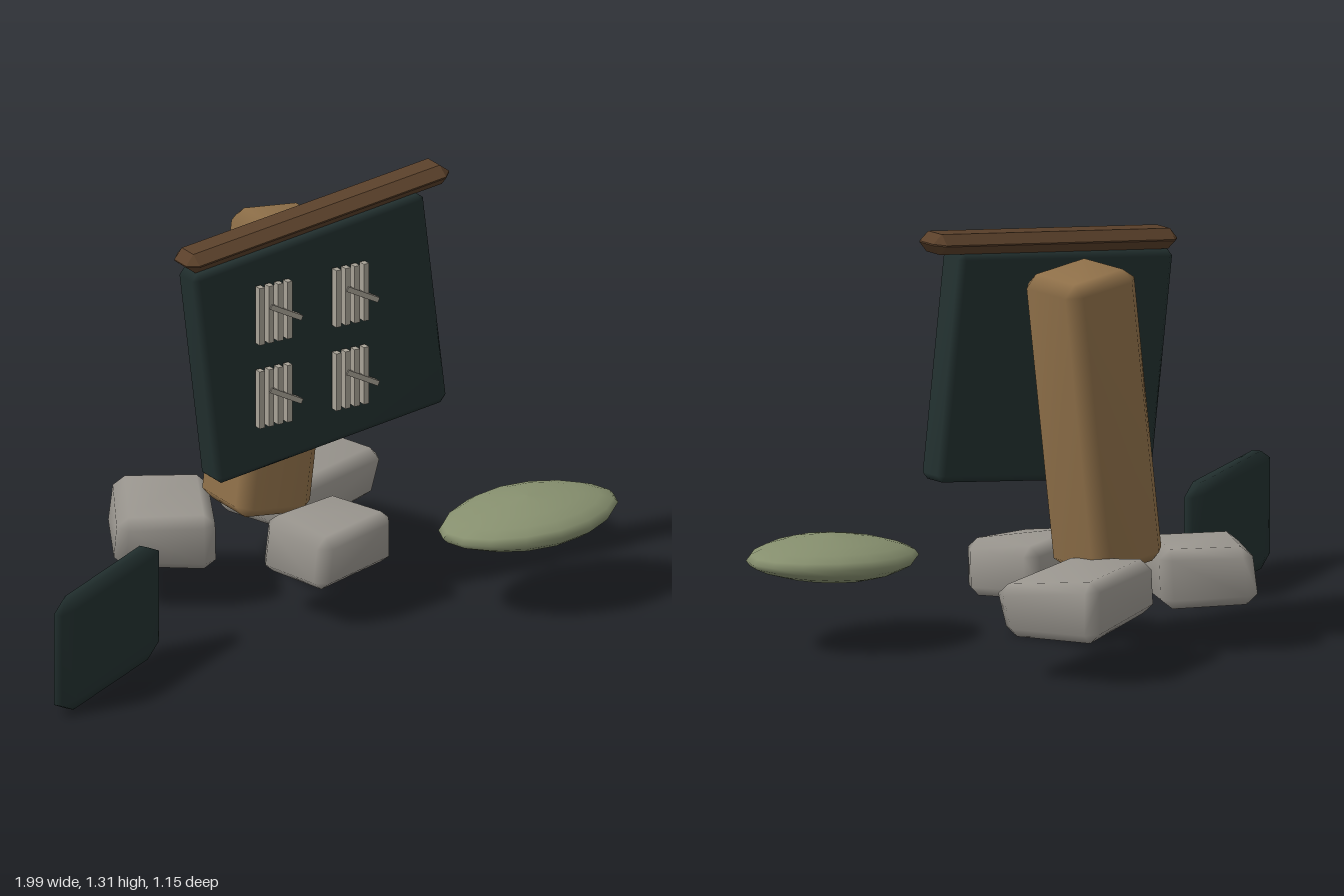
import * as THREE from 'three';
import { ConvexGeometry } from 'three/addons/geometries/ConvexGeometry.js';
import { mergeVertices } from 'three/addons/utils/BufferGeometryUtils.js';

const mat = (name, color) => {
  const m = new THREE.MeshStandardMaterial({ color });
  m.name = name;
  return m;
};

const seeded = (s) => () => {
  s = (s * 16807) % 2147483647;
  return s / 2147483647 - 0.5;
};

// Box with every edge and corner cut; inset gives the cut along x, y and z
function chamferBox(size, inset, { smooth = true, jitter = 0, seed = 1 } = {}) {
  const rand = seeded(seed);
  const points = [];
  for (const sx of [-1, 1]) for (const sy of [-1, 1]) for (const sz of [-1, 1]) {
    const sign = [sx, sy, sz];
    const shift = [rand(), rand(), rand()].map((r) => r * jitter);
    for (let face = 0; face < 3; face++) {
      const p = sign.map((s, i) => s * (size[i] / 2 - (i === face ? 0 : inset[i])) + shift[i]);
      points.push(new THREE.Vector3(...p));
    }
  }
  let geo = new ConvexGeometry(points);
  if (smooth) {
    geo.deleteAttribute('normal');
    geo = mergeVertices(geo, 1e-4);
    geo.computeVertexNormals();
  }
  return geo;
}

export function createModel() {
  const slate = mat('dark slate', 0x22302f);
  const wood = mat('post wood', 0x8f7049);
  const darkWood = mat('dark wood', 0x5a402a);
  const stone = mat('grey stone', 0x9a968f);
  const moss = mat('moss green', 0x868f6e);
  const chalk = mat('chalk', 0xa8a296);

  const model = new THREE.Group();
  model.name = 'tallyBoardSign';
  const add = (name, geo, material, pos, rot = [0, 0, 0], parent = model) => {
    const mesh = new THREE.Mesh(geo, material);
    mesh.name = name;
    mesh.position.set(...pos);
    mesh.rotation.set(...rot);
    parent.add(mesh);
    return mesh;
  };
  const deg = Math.PI / 180;

  // Leaning post
  add('post', chamferBox([0.265, 0.915, 0.265], [0.04, 0.035, 0.04]), wood,
    [0.132, 0.708, -0.167], [0, 0, -7 * deg]);

  // Crooked board with its cap rail
  add('board', chamferBox([0.82, 0.695, 0.1], [0.02, 0.02, 0.015]), slate,
    [0.165, 0.845, 0.015], [0, 0, 7 * deg]);
  add('capRail', chamferBox([0.935, 0.062, 0.125], [0.03, 0.029, 0.03], { smooth: false }), darkWood,
    [0.165, 1.225, 0.011], [0, 0, 6.7 * deg]);

  // Four tally groups: four upright strokes and one slanted stroke each
  const stroke = new THREE.BoxGeometry(0.018, 0.183, 0.024);
  const slash = new THREE.BoxGeometry(0.124, 0.016, 0.026);
  for (const y of [0.978, 0.71]) for (const x of [0, 0.27]) {
    const tally = new THREE.Group();
    tally.name = 'tallyMarks';
    tally.position.set(x, y, 0.084);
    for (let i = 0; i < 4; i++) add('stroke', stroke, chalk, [-0.063 + i * 0.0325, 0, 0], [0, 0, 0], tally);
    add('slash', slash, chalk, [0.021, -0.004, 0.003], [0, 0, -28 * deg], tally);
    model.add(tally);
  }

  // Stones around the foot of the post
  const stones = [
    { size: [0.29, 0.175, 0.36], pos: [-0.182, 0.218, -0.27], turn: -29, tilt: 0, seed: 11 },
    { size: [0.425, 0.17, 0.32], pos: [0.345, 0.218, -0.36], turn: 24, tilt: -2, seed: 29 },
    { size: [0.32, 0.17, 0.26], pos: [0.16, 0.218, 0.11], turn: 15, tilt: 0, seed: 47 },
  ];
  for (const s of stones) {
    add('stone', chamferBox(s.size, [0.035, 0.03, 0.035], { jitter: 0.02, seed: s.seed }), stone,
      s.pos, [3 * deg, s.turn * deg, s.tilt * deg]);
  }

  // Loose slate slab standing to the side
  add('looseSlab', chamferBox([0.602, 0.36, 0.052], [0.07, 0.035, 0.012]), slate,
    [-0.726, 0.18, 0.276], [0, 29 * deg, 0]);

  // Flat mossy lump, thinning towards its two tips
  const lump = new THREE.SphereGeometry(1, 16, 10);
  const p = lump.attributes.position;
  for (let i = 0; i < p.count; i++) {
    const u = p.getX(i);
    p.setXYZ(i, u * 0.294, p.getY(i) * 0.067 * (1 - 0.28 * u * u), p.getZ(i) * 0.203 * (1 - 0.15 * u * u));
  }
  lump.computeVertexNormals();
  add('mossyLump', lump, moss, [0.704, 0.265, 0.368], [0, -2 * deg, 3 * deg]);

  return model;
}
